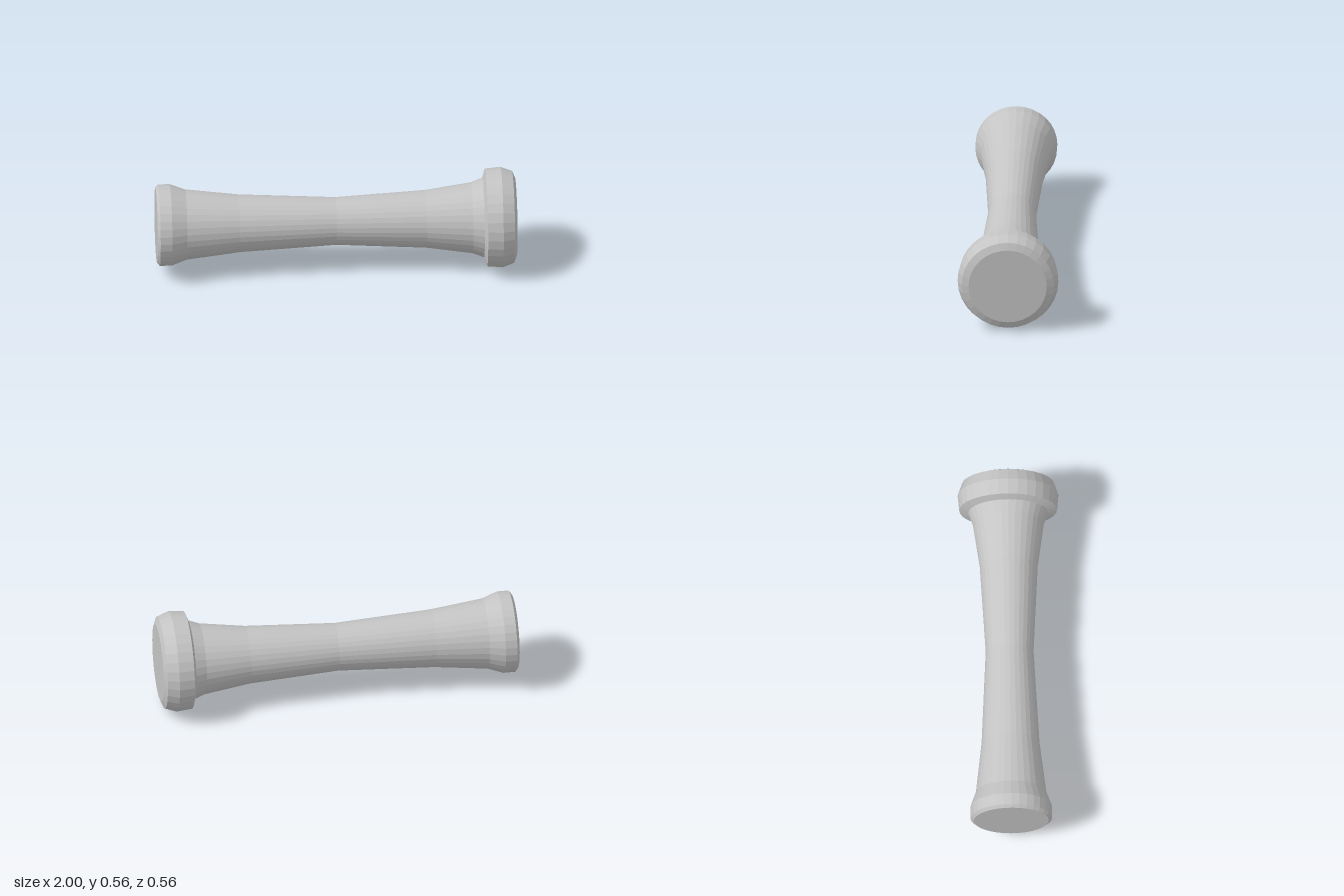
import * as THREE from 'three';

const SIDES = 32;
const AXIS_HEIGHT = 0.28;

export function createModel() {
  const grey = new THREE.MeshStandardMaterial({ color: 0xc4c4c4, flatShading: true });
  grey.name = 'plain grey';

  const model = new THREE.Group();
  model.name = 'flaredRod';

  // Turned part lying along x; profile is [x, radius] from -x to +x
  function turned(name, profile) {
    const points = profile.map(([x, r]) => new THREE.Vector2(r, x));
    const geometry = new THREE.LatheGeometry(points, SIDES);
    geometry.rotateZ(-Math.PI / 2);
    geometry.translate(0, AXIS_HEIGHT, 0);
    const mesh = new THREE.Mesh(geometry, grey);
    mesh.name = name;
    model.add(mesh);
  }

  // Waisted shaft with a rimmed, capped small end
  turned('shaft', [
    [-1, 0], [-1, 0.208], [-0.985, 0.227], [-0.92, 0.227],
    [-0.835, 0.196], [-0.54, 0.161], [0, 0.133], [0.5, 0.161],
    [0.755, 0.198], [0.818, 0.222],
  ]);

  // Wide bevelled head
  turned('head', [
    [0.818, 0.222], [0.834, 0.272], [0.92, 0.28],
    [0.984, 0.257], [1, 0.217], [1, 0],
  ]);

  return model;
}
